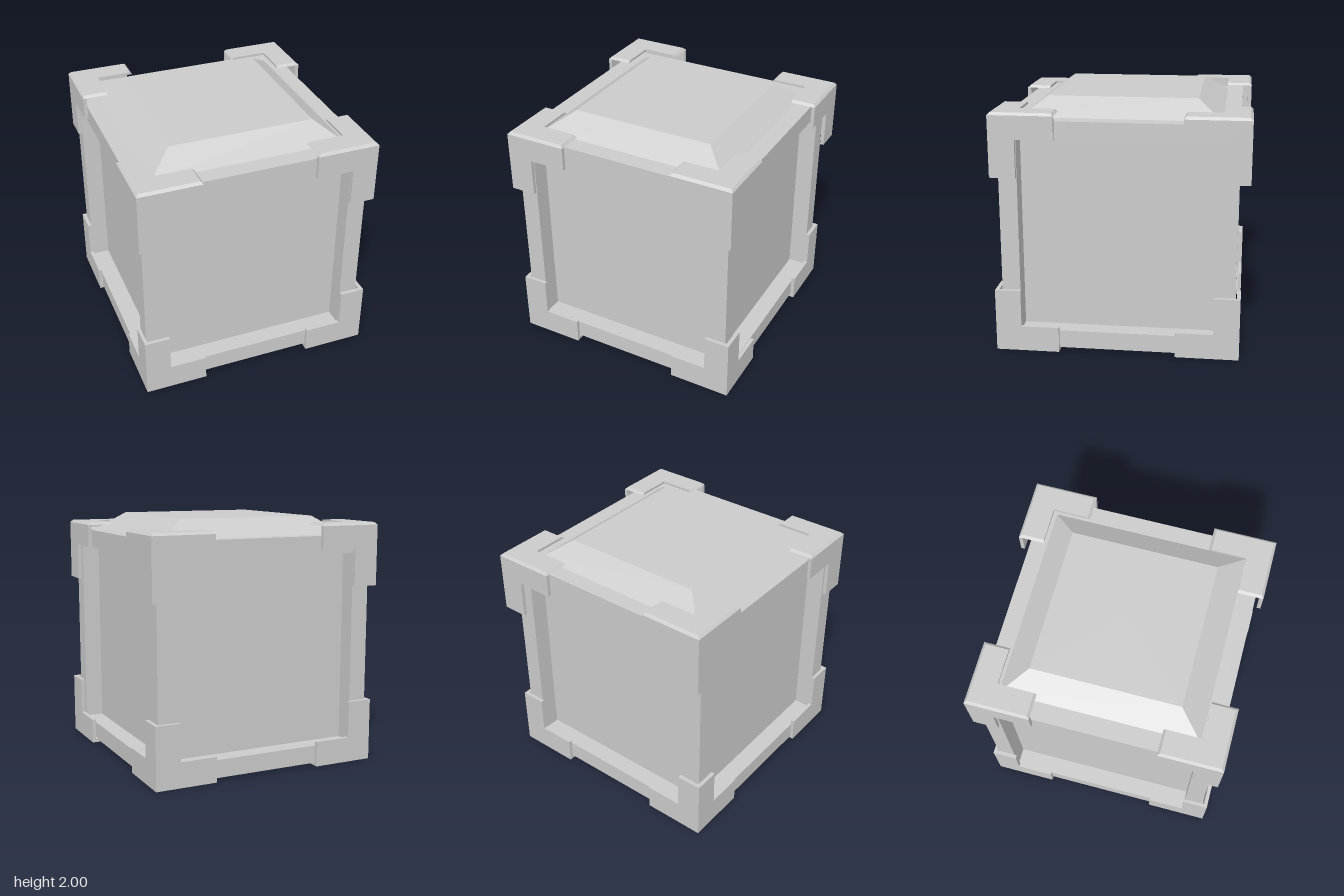
import * as THREE from 'three';
import { mergeGeometries } from 'three/addons/utils/BufferGeometryUtils.js';

const material = new THREE.MeshStandardMaterial({ color: 0xcccccc, flatShading: true });
const ARM = 0.505, WIDTH = 0.205, PLATE = 0.03, BEVEL = 0.02;

function addMesh(parent, name, geometry, x = 0, y = 0, z = 0) {
  const mesh = new THREE.Mesh(geometry, material);
  mesh.name = name;
  mesh.position.set(x, y, z);
  parent.add(mesh);
  return mesh;
}

// L-shaped plate with its outer corner at the origin, arms toward -x and -y
function lPlate(depth, top = 0) {
  const points = [[0, top], [-ARM, top], [-ARM, -WIDTH], [-WIDTH, -WIDTH], [-WIDTH, -ARM], [0, -ARM]];
  const shape = new THREE.Shape(points.map(([x, y]) => new THREE.Vector2(x, y)));
  return new THREE.ExtrudeGeometry(shape, { depth, bevelEnabled: false });
}

// Hollow corner guard: three L plates meeting at the origin, arms toward -x, -y, -z
function cornerGuard(bevelled) {
  const drop = bevelled ? -BEVEL : 0;
  const depth = bevelled ? BEVEL : PLATE;
  const front = lPlate(PLATE, drop).translate(0, 0, -PLATE);
  const side = lPlate(PLATE, drop).rotateY(-Math.PI / 2);
  const cover = lPlate(depth).rotateX(Math.PI / 2);
  if (bevelled) {
    // pull in the outer and end edges of the upper face
    const p = cover.attributes.position;
    const inset = v => (v > -1e-4 ? -BEVEL : v < -ARM + 1e-4 ? -ARM + BEVEL : v);
    for (let i = 0; i < p.count; i++) {
      if (p.getY(i) > -1e-4) p.setXYZ(i, inset(p.getX(i)), 0, inset(p.getZ(i)));
    }
    cover.computeVertexNormals();
  }
  // plates rotated about the origin may lie outside it: bring them inward
  for (const [g, axis] of [[side, 'x'], [cover, 'y']]) {
    g.computeBoundingBox();
    const max = g.boundingBox.max[axis];
    g.translate(axis === 'x' ? -max : 0, axis === 'y' ? -max : 0, 0);
  }
  return mergeGeometries([front, side, cover]);
}

export function createModel() {
  const crate = new THREE.Group();
  crate.name = 'crate';

  // Body: recessed core inside a frame of square beams
  const body = new THREE.Group();
  body.name = 'body';
  body.position.set(-0.02, 0.94, 0.01);
  crate.add(body);
  const SIZE = 1.84, BEAM = 0.145, inner = SIZE - 2 * BEAM, offset = (SIZE - BEAM) / 2;
  addMesh(body, 'panelCore', new THREE.BoxGeometry(inner, SIZE, inner));
  for (const a of [-1, 1]) {
    for (const b of [-1, 1]) {
      addMesh(body, 'post', new THREE.BoxGeometry(BEAM, SIZE, BEAM), a * offset, 0, b * offset);
      addMesh(body, 'frontBackRail', new THREE.BoxGeometry(inner, BEAM, BEAM), 0, a * offset, b * offset);
      addMesh(body, 'sideRail', new THREE.BoxGeometry(BEAM, BEAM, inner), b * offset, a * offset, 0);
    }
  }

  // Lid: shallow four-sided frustum
  const lid = new THREE.CylinderGeometry(0.585 * Math.SQRT2, 0.78 * Math.SQRT2, 0.14, 4).rotateY(Math.PI / 4);
  addMesh(crate, 'lid', lid, -0.015, 1.93, 0.005);

  // Corner guards, each sitting slightly differently: [x, y, z, quarter turns]
  const topGuard = cornerGuard(true);
  const bottomGuard = cornerGuard(false).rotateX(Math.PI / 2);
  const topCorners = [[0.945, 1.925, 0.99, 0], [0.97, 1.93, -1, 1], [-0.97, 1.96, -0.985, 2], [-0.975, 1.905, 1, 3]];
  const bottomCorners = [[0.95, 0, 0.98, 0], [0.935, 0, -0.95, 1], [-0.97, 0, -0.95, 2], [-0.965, 0, 0.985, 3]];
  for (const [x, y, z, turn] of topCorners) {
    addMesh(crate, 'topCornerGuard', topGuard, x, y, z).rotation.y = turn * Math.PI / 2;
  }
  for (const [x, y, z, turn] of bottomCorners) {
    addMesh(crate, 'bottomCornerGuard', bottomGuard, x, y, z).rotation.y = turn * Math.PI / 2;
  }
  return crate;
}
